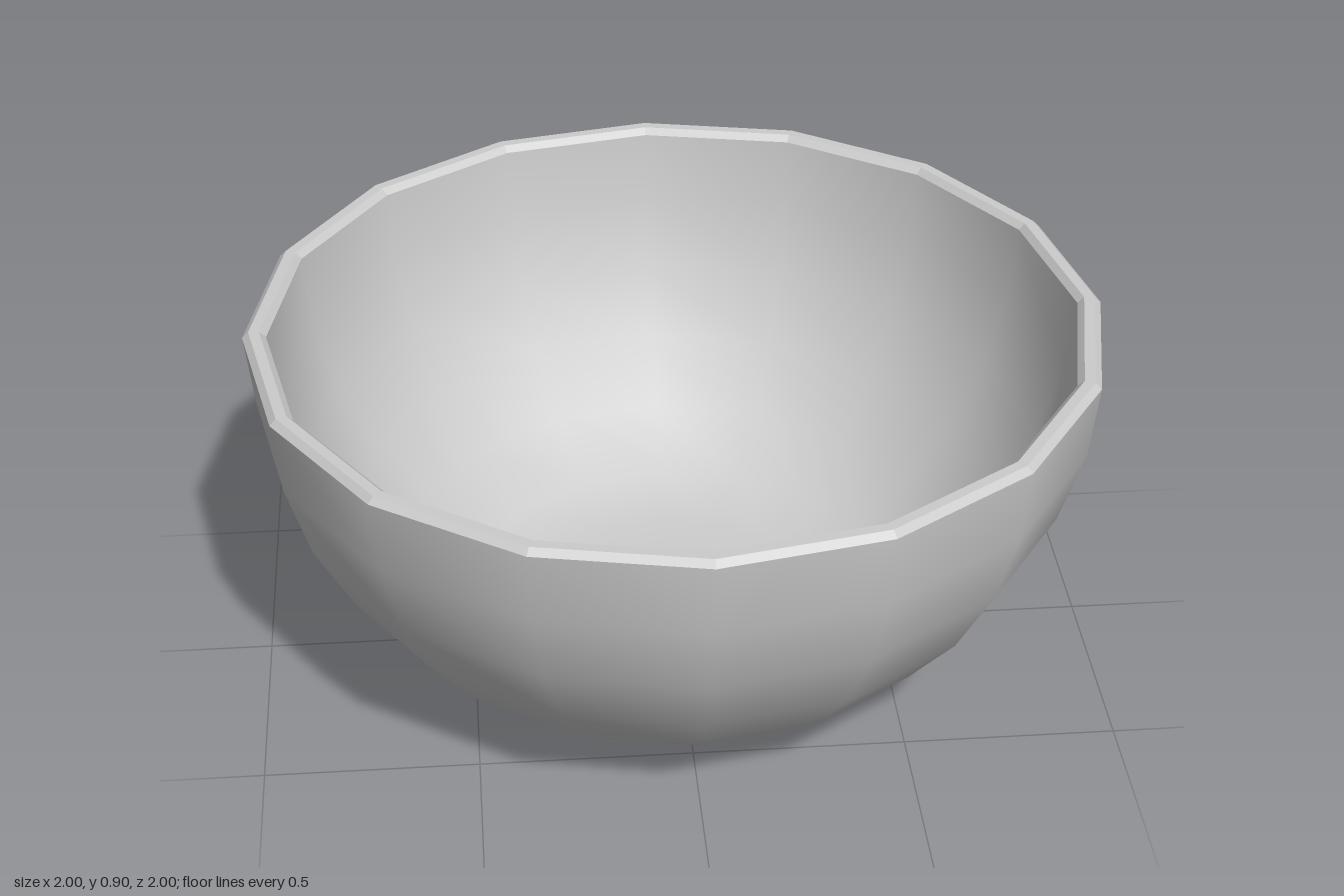
import * as THREE from 'three';

const SIDES = 16;
const RIM_Y = 0.9;

// Hemisphere profile from pole to rim, flattened to a base height
function bowlProfile(radius, baseY, poleY, topY) {
  const points = [new THREE.Vector2(0, poleY)];
  for (let k = 1; k <= 8; k++) {
    const a = (k / 8) * Math.PI / 2;
    const y = k === 8 ? topY : Math.max(baseY, RIM_Y - radius * Math.cos(a));
    points.push(new THREE.Vector2(radius * Math.sin(a), y));
  }
  return points;
}

function lathe(name, points, flatShading = false) {
  const material = new THREE.MeshStandardMaterial({ color: 0xcccccc, flatShading });
  const mesh = new THREE.Mesh(new THREE.LatheGeometry(points, SIDES), material);
  mesh.name = name;
  return mesh;
}

export function createModel() {
  const bowl = new THREE.Group();
  bowl.name = 'bowl';

  // Outer wall with a nearly flat foot
  bowl.add(lathe('outerWall', bowlProfile(1, 0.02, 0, 0.885)));

  // Inner wall, running downwards so that it faces the inside
  bowl.add(lathe('innerWall', bowlProfile(0.945, 0.075, 0.07, 0.885).reverse()));

  // Bevelled rim joining the two walls
  const rim = [[1, 0.885], [0.985, RIM_Y], [0.96, RIM_Y], [0.945, 0.885]];
  bowl.add(lathe('rim', rim.map(([r, y]) => new THREE.Vector2(r, y)), true));

  return bowl;
}
